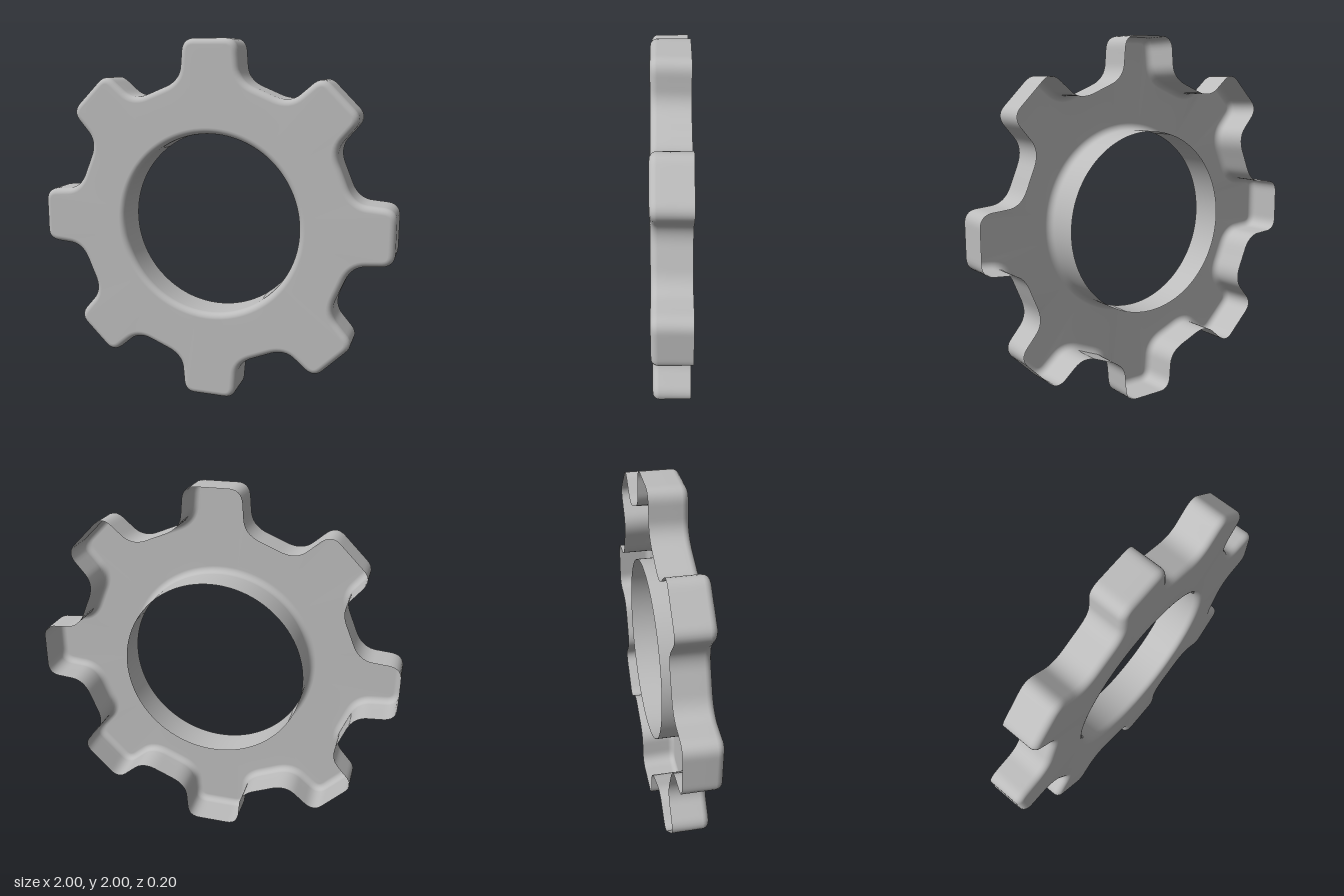
import * as THREE from 'three';

const TEETH = 8, HOLE = 0.5, FRONT = 0.1, BACK = -0.1, ROUND = 0.035;

// One tooth from valley to valley, counter-clockwise, pointing up
function toothPoints() {
  const path = new THREE.Path();
  path.moveTo(0.301, 0.726);
  path.lineTo(0.25, 0.747);
  path.quadraticCurveTo(0.165, 0.782, 0.162, 0.86);
  path.lineTo(0.157, 0.92);
  path.quadraticCurveTo(0.156, 1.0, 0.085, 1.0);
  path.lineTo(0, 1.0);
  const half = path.getSpacedPoints(28);
  const mirrored = half.slice(1, -1).reverse().map(p => new THREE.Vector2(-p.x, p.y));
  return [...half, ...mirrored];
}

// Whole outline, repeated around the ring
function gearOutline() {
  const tooth = toothPoints(), centre = new THREE.Vector2(), points = [];
  for (let k = 0; k < TEETH; k++) {
    const angle = k * Math.PI * 2 / TEETH;
    for (const p of tooth) points.push(p.clone().rotateAround(centre, angle));
  }
  return points;
}

// Open-backed shell: outer wall, rounded edge, front face, rounded edge, hole wall
function gearGeometry() {
  const outline = gearOutline(), n = outline.length, positions = [], indices = [];
  const arc = [];
  for (let s = 0; s <= 5; s++) {
    const a = s / 5 * Math.PI / 2;
    arc.push([ROUND * (1 - Math.cos(a)), FRONT - ROUND * (1 - Math.sin(a))]);
  }
  const profile = [[0, BACK], [0, 0], ...arc];
  const m = profile.length * 2;

  outline.forEach((p, i) => {
    const before = outline[(i + n - 1) % n], after = outline[(i + 1) % n];
    const t = after.clone().sub(before).normalize();
    for (const [inset, z] of profile) positions.push(p.x - t.y * inset, p.y + t.x * inset, z);
    const a = Math.atan2(p.y - t.x * -ROUND, p.x - t.y * ROUND);
    for (const [inset, z] of [...profile].reverse()) {
      const r = HOLE + inset;
      positions.push(r * Math.cos(a), r * Math.sin(a), z);
    }
  });
  for (let i = 0; i < n; i++) {
    for (let j = 0; j < m - 1; j++) {
      const a = i * m + j, b = ((i + 1) % n) * m + j;
      indices.push(a, b, b + 1, a, b + 1, a + 1);
    }
  }
  const geometry = new THREE.BufferGeometry();
  geometry.setAttribute('position', new THREE.Float32BufferAttribute(positions, 3));
  geometry.setIndex(indices);
  geometry.computeVertexNormals();
  return geometry;
}

export function createModel() {
  const group = new THREE.Group();
  group.name = 'gear';
  const grey = new THREE.MeshStandardMaterial({ color: 0xbcbcbc, side: THREE.DoubleSide });
  grey.name = 'light grey';
  const ring = new THREE.Mesh(gearGeometry(), grey);
  ring.name = 'toothedRing';
  ring.position.y = 1;
  group.add(ring);
  return group;
}
